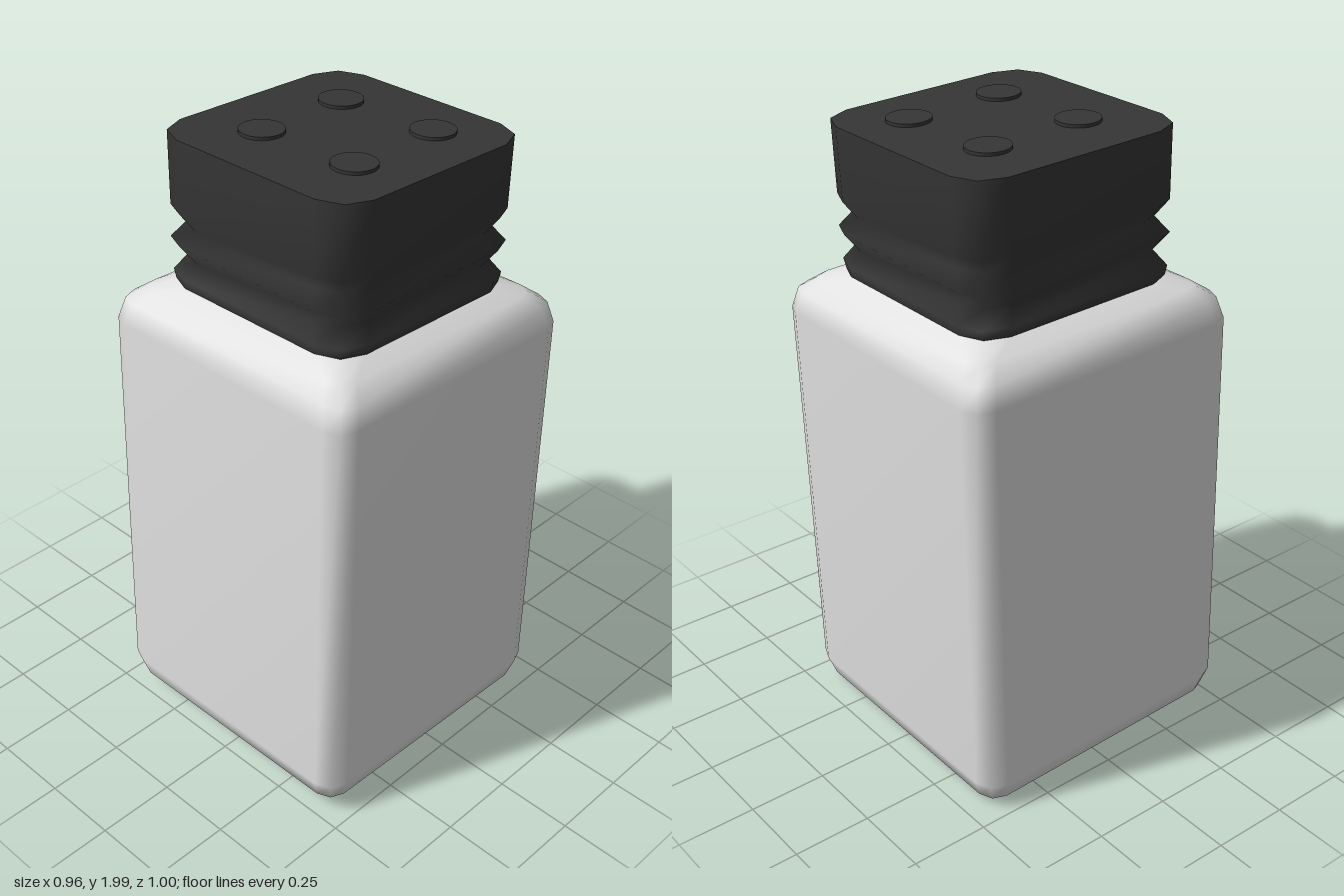
import * as THREE from 'three';

// Lofts rounded-square rings [halfWidth, y, cornerRadius] from bottom to top.
// A repeated ring makes a sharp edge; other edges are smooth.
function roundedSquareLoft(rings) {
  const perCorner = 3, n = perCorner * 4;
  const pos = [], index = [];
  for (const [half, y, r] of rings) {
    for (let c = 0; c < 4; c++) {
      const mid = Math.PI / 4 + c * Math.PI / 2;
      const cx = Math.sign(Math.cos(mid)) * (half - r);
      const cz = Math.sign(Math.sin(mid)) * (half - r);
      for (let k = 0; k < perCorner; k++) {
        const a = (c + k / (perCorner - 1)) * Math.PI / 2;
        pos.push(cx + Math.cos(a) * r, y, cz + Math.sin(a) * r);
      }
    }
  }
  const last = rings.length - 1;
  const bottom = pos.length / 3, top = bottom + 1;
  pos.push(0, rings[0][1], 0, 0, rings[last][1], 0);
  for (let j = 0; j < n; j++) {
    const k = (j + 1) % n;
    for (let i = 0; i < last; i++) {
      const same = rings[i].every((v, m) => v === rings[i + 1][m]);
      if (same) continue;
      const a = i * n + j, b = i * n + k;
      index.push(a, a + n, b, b, a + n, b + n);
    }
    index.push(bottom, j, k, top, last * n + k, last * n + j);
  }
  const geo = new THREE.BufferGeometry();
  geo.setAttribute('position', new THREE.Float32BufferAttribute(pos, 3));
  geo.setIndex(index);
  geo.computeVertexNormals();
  return geo;
}

export function createModel() {
  const white = new THREE.MeshStandardMaterial({ color: 0xe0e0e0 });
  white.name = 'pale grey';
  const black = new THREE.MeshStandardMaterial({ color: 0x353535 });
  black.name = 'charcoal';

  const model = new THREE.Group();
  model.name = 'shaker';
  const add = (name, geo, mat) => {
    const mesh = new THREE.Mesh(geo, mat);
    mesh.name = name;
    model.add(mesh);
    return mesh;
  };

  // Jar with softened edges and a shoulder rising to the neck
  add('jar', roundedSquareLoft([
    [0.41, 0.02, 0.04], [0.455, 0.045, 0.06], [0.477, 0.11, 0.07],
    [0.477, 1.39, 0.07], [0.46, 1.455, 0.07], [0.41, 1.492, 0.06],
    [0.35, 1.522, 0.1], [0.33, 1.535, 0.1],
  ]), white);

  // Ribbed cap with a flat top
  add('cap', roundedSquareLoft([
    [0.362, 1.522, 0.1], [0.362, 1.522, 0.1], [0.368, 1.552, 0.105],
    [0.336, 1.6, 0.1], [0.372, 1.655, 0.105], [0.338, 1.703, 0.1],
    [0.371, 1.755, 0.108], [0.373, 1.979, 0.108], [0.373, 1.979, 0.108],
  ]), black);

  // Four slightly uneven pouring spots on the cap
  const spots = [[-0.162, -0.167], [0.175, -0.187], [0.186, 0.143], [-0.151, 0.16]];
  for (const [x, z] of spots) {
    add('pouringSpot', new THREE.CylinderGeometry(0.067, 0.067, 0.016, 24), black)
      .position.set(x, 1.981, z);
  }

  // The whole shaker leans back a little
  model.rotation.set(-0.033, 0, 0.004);
  model.position.z = 0.022;
  const root = new THREE.Group();
  root.name = 'leaningShaker';
  root.add(model);
  return root;
}
